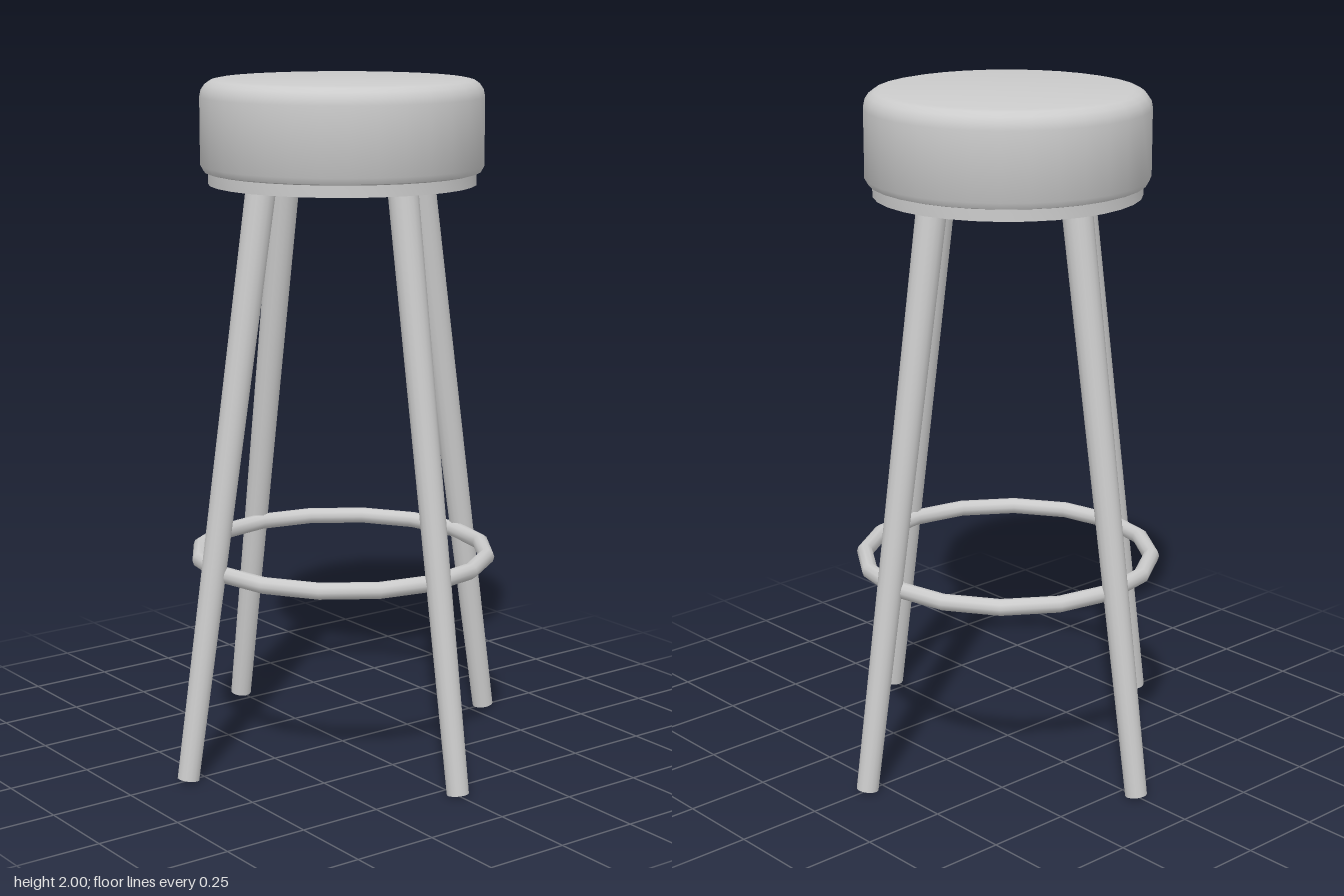
import * as THREE from 'three';
import { toCreasedNormals } from 'three/addons/utils/BufferGeometryUtils.js';

export function createModel() {
  const stool = new THREE.Group();
  stool.name = 'barStool';
  const material = new THREE.MeshStandardMaterial({ color: 0xcccccc });

  const add = (name, geometry, parent = stool) => {
    const mesh = new THREE.Mesh(geometry, material);
    mesh.name = name;
    parent.add(mesh);
    return mesh;
  };

  // Turned parts: profile given as [radius, height] pairs
  const turned = (profile) => toCreasedNormals(
    new THREE.LatheGeometry(profile.map(([r, y]) => new THREE.Vector2(r, y)), 32), 0.7);

  // Padded seat with rounded edges
  add('seatCushion', turned([
    [0, 1.735], [0.375, 1.73], [0.4, 1.737], [0.41, 1.755],
    [0.41, 1.95], [0.406, 1.969], [0.395, 1.985], [0.379, 1.996], [0.36, 2], [0, 2],
  ]));

  // Thin rim below the cushion, hollow in the middle
  add('seatRim', turned([
    [0.345, 1.735], [0.345, 1.7], [0.388, 1.7], [0.388, 1.735],
  ]));

  // Four tapered, splayed legs
  const bottom = new THREE.Vector3(0.555, 0.005, 0);
  const top = new THREE.Vector3(0.279, 1.74, 0);
  const direction = top.clone().sub(bottom);
  const legGeometry = new THREE.CylinderGeometry(0.044, 0.032, direction.length(), 16);
  legGeometry.applyQuaternion(new THREE.Quaternion().setFromUnitVectors(
    new THREE.Vector3(0, 1, 0), direction.clone().normalize()));
  const middle = bottom.clone().add(top).multiplyScalar(0.5);
  legGeometry.translate(middle.x, middle.y, middle.z);

  const legs = new THREE.Group();
  legs.name = 'legs';
  stool.add(legs);
  ['leftLeg', 'backLeg', 'rightLeg', 'frontLeg'].forEach((name, i) => {
    add(name, legGeometry, legs).rotation.y = i * Math.PI / 2;
  });

  // Footrest ring with sixteen straight segments
  const ring = add('footrestRing', new THREE.TorusGeometry(0.431, 0.024, 10, 16));
  ring.rotation.x = Math.PI / 2;
  ring.position.y = 0.6;

  return stool;
}
